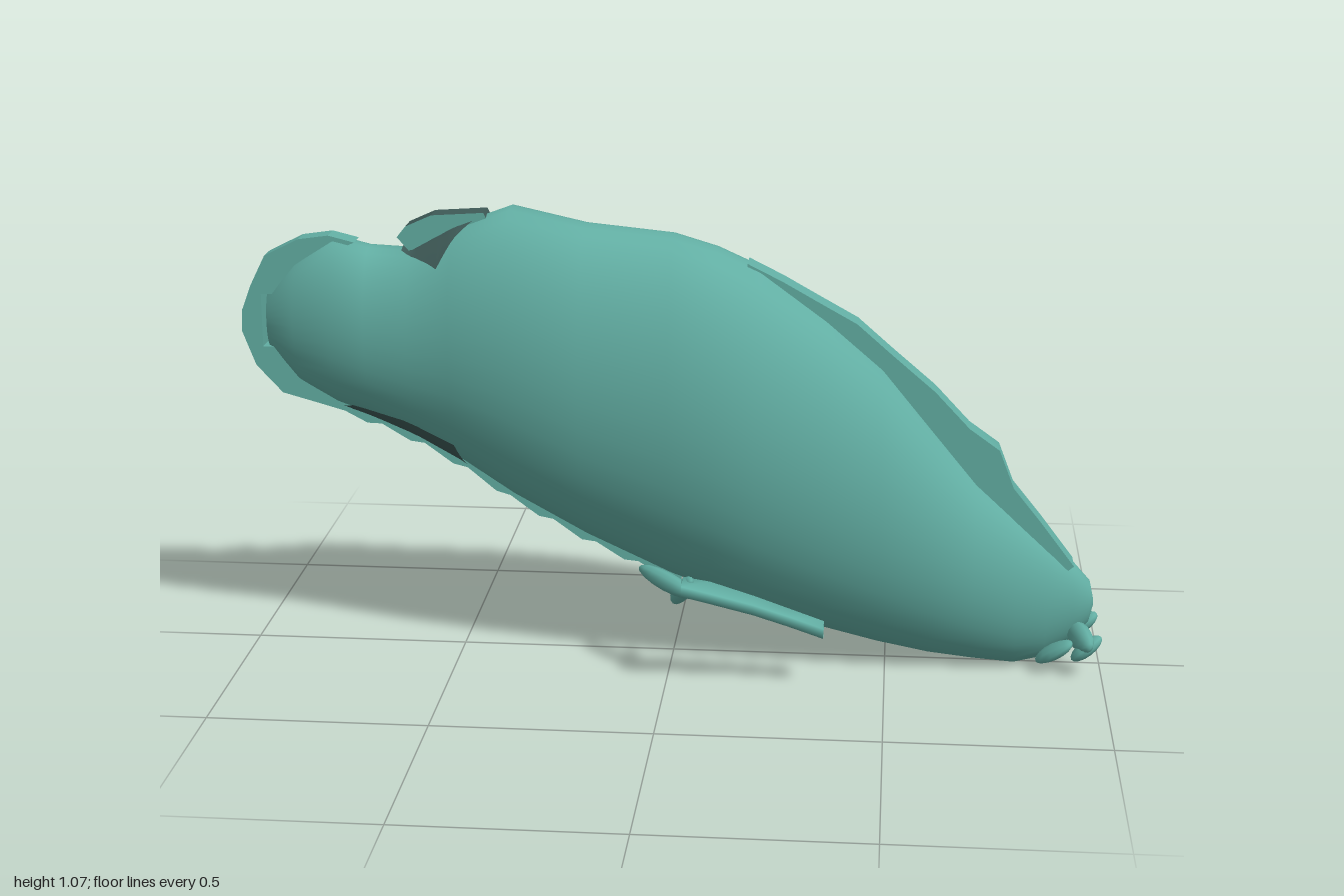
import * as THREE from 'three';
import { toCreasedNormals } from 'three/addons/utils/BufferGeometryUtils.js';

const skin = new THREE.MeshStandardMaterial({ color: 0x62aea3, name: 'tealSkin' });
skin.side = THREE.DoubleSide;
const dark = new THREE.MeshStandardMaterial({ color: 0x3f5b58, name: 'darkMarking' });
dark.side = THREE.DoubleSide;

// Body stations: x, back height, belly height, half width
const stations = [
  [-0.945, 0.8, 0.79, 0.002], [-0.94, 0.865, 0.73, 0.035], [-0.87, 0.94, 0.65, 0.075],
  [-0.78, 0.995, 0.6, 0.105], [-0.7, 0.975, 0.572, 0.11], [-0.6, 0.97, 0.53, 0.12],
  [-0.5, 1.025, 0.475, 0.145], [-0.37, 1.073, 0.39, 0.177], [-0.2, 1.035, 0.297, 0.194],
  [0, 1.015, 0.205, 0.21], [0.1, 0.985, 0.17, 0.214], [0.2, 0.94, 0.13, 0.21],
  [0.35, 0.83, 0.083, 0.193], [0.48, 0.72, 0.05, 0.17], [0.6, 0.575, 0.026, 0.145],
  [0.7, 0.455, 0.014, 0.12], [0.8, 0.365, 0.005, 0.092], [0.87, 0.305, 0.022, 0.07],
  [0.93, 0.255, 0.065, 0.05], [0.97, 0.21, 0.11, 0.032], [0.98, 0.165, 0.15, 0.004],
];

function sectionAt(x) {
  let i = 0;
  while (i < stations.length - 2 && stations[i + 1][0] < x) i++;
  const a = stations[i], b = stations[i + 1], t = (x - a[0]) / (b[0] - a[0]);
  return a.map((v, k) => THREE.MathUtils.lerp(v, b[k], t));
}

// Point on the body; angle 0 is the back, PI the belly
function bodyPoint([x, top, low, w], angle, lift = 0) {
  return [x, (top + low) / 2 + ((top - low) / 2 + lift) * Math.cos(angle), (w + lift) * Math.sin(angle)];
}

function grid(rows, closed) {
  const n = rows[0].length, index = [];
  for (let i = 0; i < rows.length - 1; i++) {
    for (let j = 0; j < (closed ? n : n - 1); j++) {
      const a = i * n + j, b = i * n + (j + 1) % n;
      index.push(a, b, a + n, b, b + n, a + n);
    }
  }
  const g = new THREE.BufferGeometry();
  g.setAttribute('position', new THREE.Float32BufferAttribute(rows.flat(2), 3));
  g.setIndex(index);
  g.computeVertexNormals();
  return g;
}

// Marking that hugs the body: spans are [x, half angle]
function patch(spans, centre) {
  const rows = [];
  for (let i = 0; i < spans.length - 1; i++) {
    for (let k = 0; k <= 4; k++) {
      const x = THREE.MathUtils.lerp(spans[i][0], spans[i + 1][0], k / 4);
      const half = THREE.MathUtils.lerp(spans[i][1], spans[i + 1][1], k / 4);
      rows.push(Array.from({ length: 13 }, (_, j) =>
        bodyPoint(sectionAt(x), centre + half * (j / 6 - 1), 0.005)));
    }
  }
  return grid(rows, false);
}

// Upright fin cut from a side outline, centred on z = 0
function fin(outline, half, hole) {
  const shape = new THREE.Shape(outline.map(p => new THREE.Vector2(...p)));
  if (hole) shape.holes.push(new THREE.Path(hole.map(p => new THREE.Vector2(...p))));
  const g = new THREE.ExtrudeGeometry(shape, { depth: half * 2, bevelEnabled: false });
  return g.translate(0, 0, -half);
}

// Flattened lobe stretched between two points
function lobe(a, b, width, thick) {
  const from = new THREE.Vector3(...a), to = new THREE.Vector3(...b);
  const dir = to.clone().sub(from), g = new THREE.SphereGeometry(1, 10, 8);
  g.scale(width, dir.length() / 2, thick);
  g.applyQuaternion(new THREE.Quaternion().setFromUnitVectors(
    new THREE.Vector3(0, 1, 0), dir.clone().normalize()));
  const m = from.add(to).multiplyScalar(0.5);
  return g.translate(m.x, m.y, m.z);
}

export function createModel() {
  const model = new THREE.Group();
  const add = (name, geometry, material = skin, parent = model) => {
    const mesh = new THREE.Mesh(geometry, material);
    mesh.name = name;
    parent.add(mesh);
    return mesh;
  };

  // Smooth body
  add('body', grid(stations.map(s =>
    Array.from({ length: 36 }, (_, j) => bodyPoint(s, j / 36 * Math.PI * 2))), true));

  // Long back fin
  add('backFin', toCreasedNormals(fin([
    [0.17, 0.955], [0.25, 0.915], [0.33, 0.87], [0.42, 0.82], [0.5, 0.75], [0.6, 0.665],
    [0.68, 0.58], [0.75, 0.53], [0.785, 0.44], [0.85, 0.36], [0.93, 0.255], [0.9, 0.23],
    [0.68, 0.42], [0.53, 0.63], [0.35, 0.78], [0.17, 0.9]], 0.033), 0.7));

  // Tail rim, with a narrow slot at the body's end
  add('tailFin', fin([
    [-0.73, 0.985], [-0.79, 1.0], [-0.86, 0.99], [-0.94, 0.95], [-0.975, 0.88], [-0.998, 0.82],
    [-1, 0.77], [-0.97, 0.69], [-0.91, 0.625], [-0.82, 0.6], [-0.75, 0.58], [-0.76, 0.65], [-0.8, 0.95]],
  0.028, [[-0.952, 0.735], [-0.952, 0.86], [-0.9, 0.86], [-0.9, 0.735]]));

  // Small fin behind the back, dark along its edge
  add('smallBackFin', fin([
    [-0.63, 1.0], [-0.61, 1.025], [-0.55, 1.052], [-0.43, 1.06], [-0.42, 1.04],
    [-0.5, 1.0], [-0.55, 0.96], [-0.6, 0.965]], 0.03), [skin, dark]);

  // Dark markings on back and belly
  add('backMarking', patch([[-0.62, 0.25], [-0.57, 0.55], [-0.53, 0.75], [-0.49, 0.4], [-0.44, 0.1]], 0), dark);
  add('bellyMarking', patch([[-0.79, 0.1], [-0.74, 0.5], [-0.62, 0.65], [-0.5, 0.65], [-0.48, 0.3]], Math.PI), dark);

  // Ragged fin along the belly
  const ragged = [], inner = [];
  for (let i = 0; i <= 24; i++) {
    const x = -0.78 + i * 0.0333, low = sectionAt(x)[2];
    ragged.push([x, low - 0.009 - 0.006 * (i % 3)]);
    inner.unshift([x, low + 0.02]);
  }
  add('bellyFin', fin([...ragged, ...inner], 0.025));

  for (const side of [1, -1]) {
    // Side fin: a short arm, a broad plate and a thin trailing blade
    const sideFin = new THREE.Group();
    sideFin.name = side > 0 ? 'leftFin' : 'rightFin';
    model.add(sideFin);
    add('finArm', lobe([-0.07, 0.25, 0.11 * side], [0.07, 0.23, 0.24 * side], 0.022, 0.022), skin, sideFin);
    add('finRoot', lobe([0.01, 0.175, 0.12 * side], [0.06, 0.265, 0.23 * side], 0.02, 0.025), skin, sideFin);
    const plate = [[0.04, 0.25, 0.21, 0.265], [0.1, 0.235, 0.195, 0.262],
      [0.2, 0.2, 0.185, 0.235], [0.28, 0.17, 0.18, 0.222], [0.36, 0.14, 0.175, 0.215]];
    add('finBlade', grid(plate.map(([x, y, z0, z1]) => [
      [x, y + 0.016, z0 * side], [x, y + 0.012, z1 * side],
      [x, y - 0.012, z1 * side], [x, y - 0.004, z0 * side]]), true), skin, sideFin);

    // Paired lobes at the low end
    const lobes = new THREE.Group();
    lobes.name = side > 0 ? 'leftLobes' : 'rightLobes';
    model.add(lobes);
    add('upperLobe', lobe([0.93, 0.1, 0.005 * side], [0.97, 0.085, 0.115 * side], 0.022, 0.03), skin, lobes);
    add('rearLobe', lobe([0.85, 0.03, 0.055 * side], [0.93, 0.09, 0.095 * side], 0.016, 0.026), skin, lobes);
    add('outerLobe', lobe([0.93, 0.045, 0.085 * side], [0.997, 0.1, 0.075 * side], 0.018, 0.028), skin, lobes);
  }
  return model;
}
